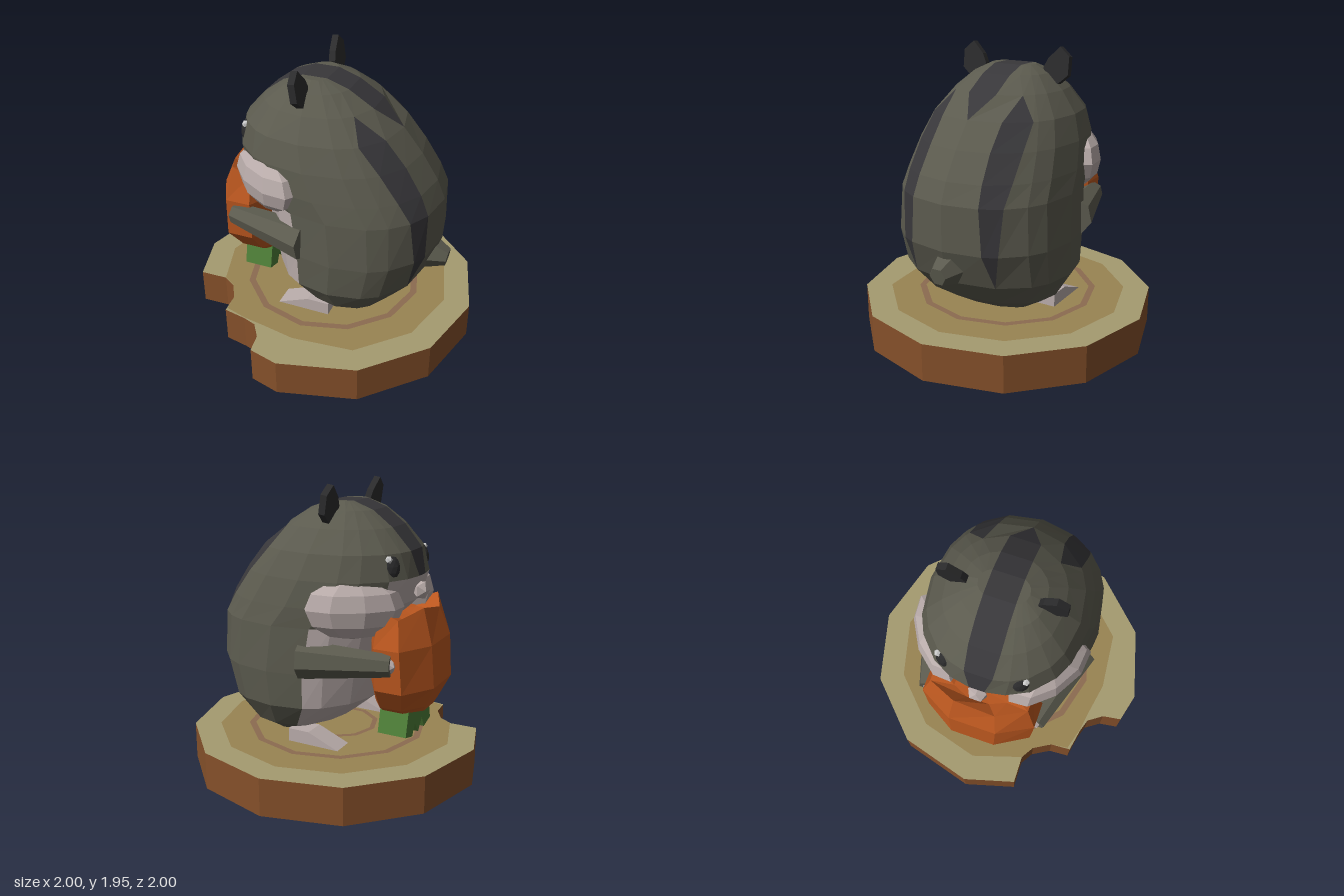
import * as THREE from 'three';

const FUR = 0x5b5a4e, STRIPE = 0x38373a, PALE = 0xb9acaa, DARK = 0x2b2b2c, ORANGE = 0xbb571f,
  GREEN = 0x4f8038, BARK = 0x85502a, WOOD = 0xa59b70, HEART = 0x998453, RING = 0x8c6b50;
const mat = (color) => new THREE.MeshStandardMaterial({ color, flatShading: true });

function add(parent, name, geometry, color, pos = [0, 0, 0], rot = [0, 0, 0], scale = [1, 1, 1]) {
  const m = new THREE.Mesh(geometry, Array.isArray(color) ? color.map(mat) : mat(color));
  m.name = name;
  m.position.set(...pos);
  m.rotation.set(...rot);
  m.scale.set(...scale);
  parent.add(m);
  return m;
}

// Collects quads under a key and turns each list into a geometry
class Quads {
  lists = {};
  quad(key, a, b, c, d) {
    (this.lists[key] ??= []).push(...a, ...b, ...c, ...a, ...c, ...d);
  }
  geometry(key) {
    const g = new THREE.BufferGeometry();
    g.setAttribute('position', new THREE.Float32BufferAttribute(this.lists[key], 3));
    g.computeVertexNormals();
    return g;
  }
}

const polygon = (pts) => new THREE.Shape(pts.map(([x, y]) => new THREE.Vector2(x, y)));
// Outline in (z, y), given thickness along x and centred on x = 0
const slab = (pts, t) => new THREE.ExtrudeGeometry(polygon(pts), { depth: t, bevelEnabled: false })
  .translate(0, 0, -t / 2).rotateY(-Math.PI / 2);

// Body rings: y, front x, back x, half width, back stripe inner z and outer z, crown stripe front and back
const RINGS = [
  [0.29, 0.06, 0.40, 0.34, 0.17, 0.17, 0, 0],
  [0.38, -0.14, 0.54, 0.49, 0.25, 0.25, 0, 0],
  [0.54, -0.33, 0.69, 0.585, 0.30, 0.30, 0, 0],
  [0.77, -0.37, 0.77, 0.595, 0.26, 0.35, 0, 0],
  [1.07, -0.43, 0.765, 0.575, 0.24, 0.37, 0, 0],
  [1.20, -0.56, 0.71, 0.56, 0.23, 0.38, 0, 0],
  [1.37, -0.61, 0.60, 0.53, 0.22, 0.38, 0.05, 0],
  [1.53, -0.57, 0.47, 0.475, 0.22, 0.37, 0.09, 0],
  [1.67, -0.45, 0.31, 0.37, 0.25, 0.25, 0.1, 0.1],
  [1.77, -0.32, 0.15, 0.26, 0.16, 0.16, 0.1, 0.1],
  [1.82, -0.19, 0.01, 0.16, 0.115, 0.115, 0.1, 0.1],
];

function bodyRing([y, x0, x1, w, si, so, cf, cb]) {
  const mid = (x0 + x1) / 2, half = (x1 - x0) / 2, e = 0.82 * w;
  const front = [cf, cf + (e - cf) * 0.33, cf + (e - cf) * 0.67, e, 0.93 * w, w];
  const back = [cb, si, so, e, 0.93 * w];
  const point = (z, side) =>
    [mid + side * half * Math.max(0, 1 - (Math.abs(z) / w) ** 2.2) ** (1 / 2.2), y, z];
  const rev = (a) => [...a].reverse();
  return [
    ...rev(front).map((z) => point(-z, -1)), ...front.map((z) => point(z, -1)),
    ...rev(back).map((z) => point(z, 1)), ...back.map((z) => point(-z, 1)),
  ];
}

function addBody(parent) {
  const q = new Quads(), rings = RINGS.map(bodyRing), n = 22;
  const colour = (row, k) => {
    if (row < 4 && k >= 1 && k <= 9) return 'belly';
    if ((row === 4 || row === 5) && k >= 3 && k <= 7) return 'belly';
    if (k === 14 || k === 18 || k === 16 || (k === 5 && row >= 6)) return 'stripes';
    return 'fur';
  };
  for (let r = 0; r < rings.length - 1; r++) {
    const a = rings[r], b = rings[r + 1];
    for (let k = 0; k < n; k++) {
      const l = (k + 1) % n;
      q.quad(colour(r, k), a[k], a[l], b[l], b[k]);
    }
  }
  // crown and underside
  const top = rings.at(-1), low = rings[0];
  for (let i = 0; i < 11; i++) {
    const j = (n - i) % n, k = n - i - 1;
    q.quad(i === 5 ? 'stripes' : 'fur', top[i], top[i + 1], top[k], top[j]);
    q.quad('fur', low[j], low[k], low[i + 1], low[i]);
  }
  add(parent, 'bodyFur', q.geometry('fur'), FUR);
  add(parent, 'bodyStripes', q.geometry('stripes'), STRIPE);
  add(parent, 'bellyAndMuzzle', q.geometry('belly'), PALE);
}

// Everything that comes in pairs; s is the side along z
function addSide(parent, s) {
  const side = new THREE.Group();
  side.name = s > 0 ? 'frontSideParts' : 'backSideParts';
  parent.add(side);
  add(side, 'cheek', new THREE.SphereGeometry(1, 9, 6), PALE,
    [-0.31, 1.2, s * 0.375], [0, -s * 0.6, 0], [0.32, 0.2, 0.15]);
  add(side, 'eye', new THREE.IcosahedronGeometry(1, 1), DARK,
    [-0.505, 1.45, s * 0.255], [0, s * 0.75, -0.2], [0.035, 0.075, 0.06]);
  add(side, 'eyeGlint', new THREE.IcosahedronGeometry(0.025, 0), 0xdddddd, [-0.5, 1.5, s * 0.28]);

  const ear = [[0.22, 1.8], [0.25, 1.72], [0.33, 1.7], [0.4, 1.76], [0.4, 1.88], [0.33, 1.94], [0.25, 1.86]];
  add(side, 'ear', slab(ear.map(([z, y]) => [s * (z - 0.31), y - 1.82]), 0.045), DARK,
    [-0.11, 1.82, s * 0.31], [0, 0, 0.14]);

  // arm reaching forward to the food, with a pale paw
  const from = new THREE.Vector3(0.0, 0.86, s * 0.5), to = new THREE.Vector3(-0.57, 0.865, s * 0.375);
  const dir = to.clone().sub(from), mid = from.clone().add(to).multiplyScalar(0.5);
  const arm = add(side, 'arm', new THREE.CylinderGeometry(0.072, 0.13, dir.length(), 7), FUR, mid.toArray());
  arm.quaternion.setFromUnitVectors(new THREE.Vector3(0, 1, 0), dir.normalize());
  add(side, 'paw', new THREE.IcosahedronGeometry(0.062, 0), PALE, [-0.55, 0.865, s * 0.37]);

  const foot = polygon([[-0.24, 0.25], [0.13, 0.25], [0.13, 0.34], [-0.02, 0.34]]);
  add(side, 'foot', new THREE.ExtrudeGeometry(foot, { depth: 0.15, bevelEnabled: false })
    .translate(0, 0, -0.075), PALE, [0, 0, s * 0.37]);
}

function addFood(parent) {
  // y, x centre, half depth, half width; the last ring is the bitten hollow
  const rows = [[0.49, -0.51, 0.17, 0.2], [0.53, -0.52, 0.18, 0.26], [0.68, -0.55, 0.22, 0.37],
    [0.96, -0.54, 0.21, 0.39], [1.19, -0.53, 0.15, 0.33], [1.11, -0.53, 0.08, 0.18]];
  const q = new Quads(), c = Math.cos(Math.PI / 8);
  const rings = rows.map(([y, x, rx, rz], r) => Array.from({ length: 8 }, (_, i) => {
    const a = (i + 0.5) * Math.PI / 4;
    return [x + rx * Math.cos(a) / c, y - (r === 4 && i % 2 ? 0.05 : 0), rz * Math.sin(a) / c];
  }));
  for (let i = 0; i < 8; i++) {
    const j = (i + 1) % 8;
    for (let r = 0; r < rows.length - 1; r++) {
      q.quad('food', rings[r][j], rings[r][i], rings[r + 1][i], rings[r + 1][j]);
    }
    const lo = [-0.51, 0.49, 0], hi = [-0.53, 1.1, 0];
    q.quad('food', lo, rings[0][i], rings[0][j], lo);
    q.quad('food', hi, rings[5][j], rings[5][i], hi);
  }
  add(parent, 'vegetable', q.geometry('food'), ORANGE);
  add(parent, 'leafTuft', slab([[-0.17, 0.5], [-0.21, 0.33], [-0.1, 0.3], [-0.06, 0.38], [0, 0.3],
    [0.06, 0.38], [0.1, 0.3], [0.21, 0.33], [0.17, 0.5]], 0.2), GREEN, [-0.51, 0, 0]);
}

function addLog(parent) {
  // outlines in (x, z), with a broken notch at the front
  const arc = (r, from, to) => Array.from({ length: to - from + 1 }, (_, i) => {
    const a = (from + i) * Math.PI / 6;
    return [r * Math.cos(a), r * Math.sin(a)];
  });
  const flip = (pts) => pts.map(([x, z]) => [x, -z]);
  const outer = [...arc(1, 6, 15), [-0.2, 0.95], [-0.22, 0.82], [-0.29, 0.72], [-0.38, 0.69],
    [-0.54, 0.66], [-0.55, 0.52], [-0.62, 0.4], [-0.71, 0.345], [-0.9, 0.35]];
  const heart = [...arc(0.82, 6, 14), [0, 0.75], [-0.22, 0.71], [-0.38, 0.685], [-0.535, 0.64],
    [-0.55, 0.52], [-0.62, 0.4], [-0.71, 0.345]];
  add(parent, 'logSlice', new THREE.ExtrudeGeometry(polygon(flip(outer)), { depth: 0.25, bevelEnabled: false })
    .rotateX(-Math.PI / 2), [WOOD, BARK]);
  for (const [face, y, turn] of [['top', 0.25, -1], ['bottom', 0, 1]]) {
    const up = -turn;
    const disc = (name, geo, color, lift) =>
      add(parent, face + name, geo.rotateX(turn * Math.PI / 2), color, [0, y + up * lift, 0]);
    disc('Heartwood', new THREE.ShapeGeometry(polygon(up > 0 ? flip(heart) : heart)), HEART, 0.002);
    disc('OuterRing', new THREE.RingGeometry(0.575, 0.62, 12), RING, 0.004);
    disc('InnerRing', new THREE.RingGeometry(0.25, 0.285, 10), RING, 0.004);
  }
}

export function createModel() {
  const model = new THREE.Group();
  model.name = 'rodentOnLog';
  const animal = new THREE.Group();
  animal.name = 'animal';
  model.add(animal);
  addBody(animal);
  for (const s of [1, -1]) addSide(animal, s);
  add(animal, 'nose', new THREE.IcosahedronGeometry(0.065, 0), PALE, [-0.6, 1.27, 0], [0, 0, 0], [0.9, 1, 1.1]);
  add(animal, 'tail', new THREE.CylinderGeometry(0.06, 0.115, 0.12, 6), FUR,
    [0.76, 0.63, 0], [0, 0, -Math.PI / 2 - 0.15]);
  addFood(model);
  addLog(model);
  return model;
}
